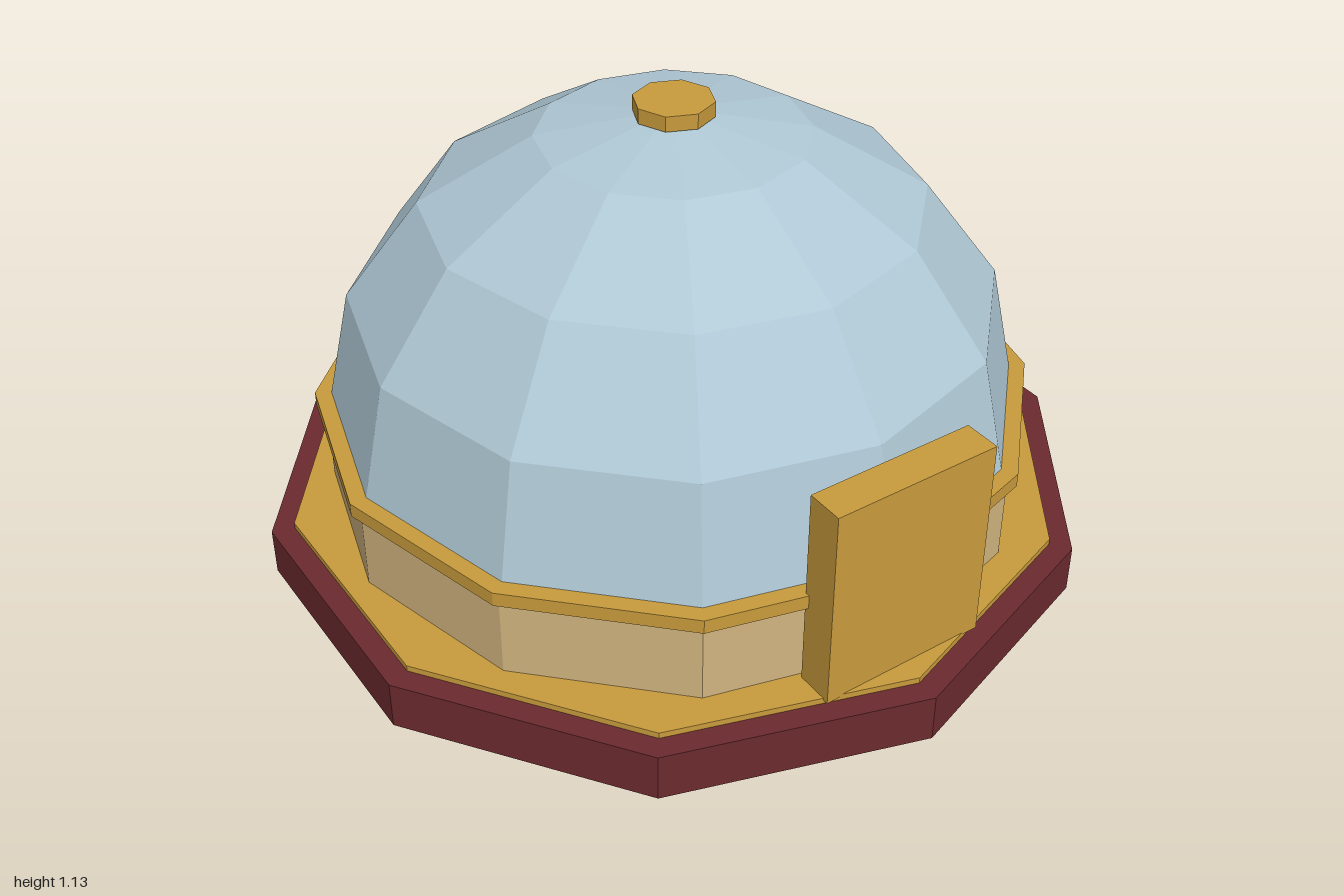
import * as THREE from 'three';

function material(name, color) {
  const m = new THREE.MeshStandardMaterial({ color, flatShading: true });
  m.name = name;
  return m;
}

export function createModel() {
  const maroon = material('maroon', 0x6b2a2e);
  const gold = material('gold', 0xc89b3c);
  const sand = material('sand', 0xd2b480);
  const paleBlue = material('paleBlue', 0xafc8d5);

  const model = new THREE.Group();
  model.name = 'domedBuilding';

  function add(name, geometry, mat, y, z = 0) {
    const mesh = new THREE.Mesh(geometry, mat);
    mesh.name = name;
    mesh.position.set(0, y, z);
    model.add(mesh);
    return mesh;
  }

  // Upright prism between two heights
  function prism(name, radius, bottom, top, sides, mat) {
    const geometry = new THREE.CylinderGeometry(radius, radius, top - bottom, sides);
    return add(name, geometry, mat, (bottom + top) / 2);
  }

  // Ten-sided plinth with a thin gold floor
  prism('plinth', 1, 0, 0.12, 10, maroon);
  prism('floorPlate', 0.945, 0.12, 0.135, 10, gold);

  // Twelve-sided drum wall and its cornice
  prism('drumWall', 0.845, 0.135, 0.345, 12, sand);
  prism('cornice', 0.868, 0.34, 0.375, 12, gold);

  // Faceted, slightly flattened half dome
  const domeShape = new THREE.SphereGeometry(0.83, 12, 4, 0, Math.PI * 2, 0, Math.PI / 2);
  domeShape.scale(1, 0.74 / 0.83, 1);
  add('dome', domeShape, paleBlue, 0.367);

  // Octagonal cap on the crown
  prism('crownCap', 0.095, 1.095, 1.132, 8, gold);

  // Door slab at the front
  add('door', new THREE.BoxGeometry(0.42, 0.505, 0.09), gold, 0.3825, 0.845);

  return model;
}
